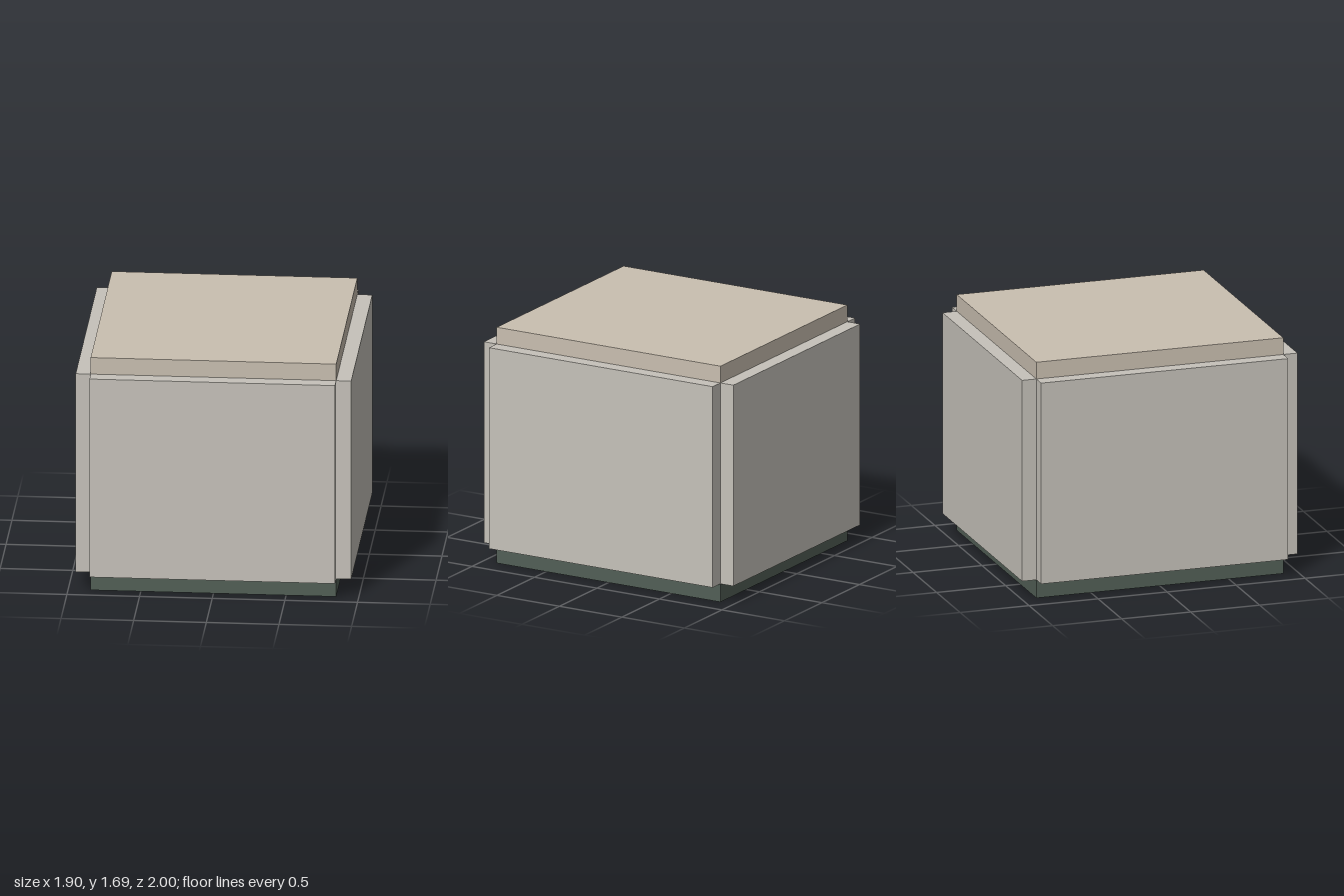
import * as THREE from 'three';

// Half-extents of the inner block, panel thickness and level heights
const HX = 0.845, HZ = 0.895, T = 0.103;
const Y_BASE = 0.13, Y_PANEL = 1.57, Y_TOP = 1.69;

export function createModel() {
  const group = new THREE.Group();
  const panelMat = new THREE.MeshStandardMaterial({ color: 0xc6c2ba });
  const topMat = new THREE.MeshStandardMaterial({ color: 0xc9bfb0 });
  const baseMat = new THREE.MeshStandardMaterial({ color: 0x525f56 });

  // Box given by its centre in plan, its plan size and its vertical range
  function slab(name, mat, x, z, width, depth, y0, y1) {
    const mesh = new THREE.Mesh(new THREE.BoxGeometry(width, y1 - y0, depth), mat);
    mesh.name = name;
    mesh.position.set(x, (y0 + y1) / 2, z);
    group.add(mesh);
  }

  // Recessed plinth and raised top
  slab('base', baseMat, 0, 0, HX * 2, HZ * 2, 0, Y_BASE);
  slab('top', topMat, 0, 0, HX * 2, HZ * 2, Y_PANEL, Y_TOP);

  // Four panels standing proud of the block, leaving open notches at the corners
  for (const s of [1, -1]) {
    slab(s > 0 ? 'frontPanel' : 'backPanel', panelMat, 0, s * (HZ + T / 2), HX * 2, T, Y_BASE, Y_PANEL);
    slab(s > 0 ? 'leftPanel' : 'rightPanel', panelMat, s * (HX + T / 2), 0, T, HZ * 2, Y_BASE, Y_PANEL);
  }
  return group;
}
